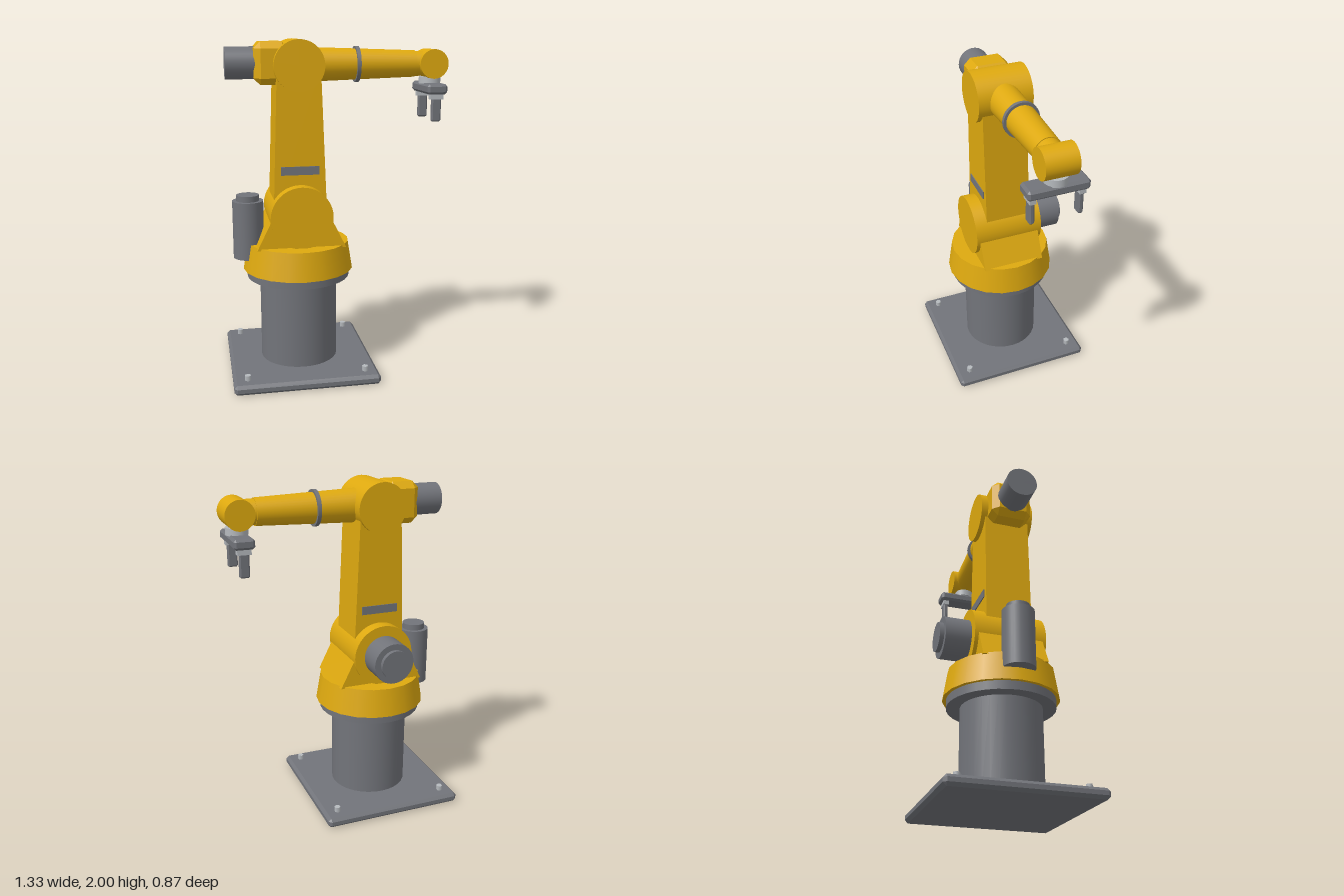
import * as THREE from 'three';
import { ConvexGeometry } from 'three/addons/geometries/ConvexGeometry.js';

export function createModel() {
  const model = new THREE.Group();
  model.name = 'robotArm';

  const mat = (name, color) => {
    const m = new THREE.MeshStandardMaterial({ color });
    m.name = name;
    return m;
  };
  const yellow = mat('yellow paint', 0xdea90f);
  const grey = mat('dark grey metal', 0x72747a);
  const light = mat('light grey metal', 0xb6babe);

  const add = (name, geometry, material, x = 0, y = 0, z = 0) => {
    const mesh = new THREE.Mesh(geometry, material);
    mesh.name = name;
    mesh.position.set(x, y, z);
    model.add(mesh);
    return mesh;
  };

  // Upright cylinder between two heights
  const post = (name, material, x, z, y0, y1, r0, r1 = r0, sides = 32) =>
    add(name, new THREE.CylinderGeometry(r1, r0, y1 - y0, sides), material, x, (y0 + y1) / 2, z);

  // Cylinder along z
  const axle = (name, material, x, y, z0, z1, r) =>
    add(name, new THREE.CylinderGeometry(r, r, z1 - z0, 40).rotateX(Math.PI / 2), material, x, y, (z0 + z1) / 2);

  // Cylinder or cone along x
  const rod = (name, material, y, x0, x1, r0, r1 = r0) =>
    add(name, new THREE.CylinderGeometry(r1, r0, x1 - x0, 32).rotateZ(-Math.PI / 2), material, (x0 + x1) / 2, y, 0);

  // Box with every edge chamfered by c
  const chamferBox = (w, h, d, c) => {
    const points = [];
    for (const i of [-1, 1]) for (const j of [-1, 1]) for (const k of [-1, 1]) {
      for (let full = 0; full < 3; full++) {
        const inset = [c, c, c];
        inset[full] = 0;
        points.push(new THREE.Vector3(i * (w / 2 - inset[0]), j * (h / 2 - inset[1]), k * (d / 2 - inset[2])));
      }
    }
    return new ConvexGeometry(points);
  };

  // Tapered block, symmetric in x, extruded through z
  const taper = (y0, half0, y1, half1, depth) => {
    const shape = new THREE.Shape([
      new THREE.Vector2(-half0, y0), new THREE.Vector2(half0, y0),
      new THREE.Vector2(half1, y1), new THREE.Vector2(-half1, y1),
    ]);
    return new THREE.ExtrudeGeometry(shape, { depth, bevelEnabled: false }).translate(0, 0, -depth / 2);
  };

  const cx = -0.233;       // main column axis
  const shoulderY = 0.98;
  const elbowY = 1.853;
  const wristX = 0.58;

  // Base plate, bolts and column
  add('basePlate', chamferBox(0.866, 0.06, 0.87, 0.018), grey, cx, 0.03, 0);
  for (const sx of [-1, 1]) for (const sz of [-1, 1]) {
    post('baseBolt', light, cx + sx * 0.35, sz * 0.35, 0.055, 0.09, 0.019, 0.019, 6);
  }
  post('column', grey, cx, 0, 0.05, 0.6, 0.235);
  post('columnFlange', grey, cx, 0, 0.58, 0.635, 0.312);

  // Rotating turret and shoulder
  post('turret', yellow, cx, 0, 0.63, 0.8, 0.335, 0.308, 20);
  add('shoulderPedestal', taper(0.79, 0.264, 0.98, 0.17, 0.38), yellow, cx);
  axle('shoulderJoint', yellow, cx, shoulderY, -0.212, 0.212, 0.185);
  axle('shoulderMotor', grey, cx, shoulderY, -0.363, -0.2, 0.123);
  axle('shoulderMotorCap', grey, cx, shoulderY, -0.388, -0.36, 0.087);

  // Upright motor behind the turret
  post('turretMotor', grey, -0.533, 0, 0.705, 1.055, 0.093);
  post('turretMotorCap', grey, -0.533, 0, 1.05, 1.09, 0.068);

  // Lower arm with a plate on each side
  add('lowerArm', taper(0.98, 0.159, 1.853, 0.126, 0.274), yellow, cx);
  for (const s of [-1, 1]) {
    add('sidePlate', new THREE.BoxGeometry(0.226, 0.05, 0.008), grey, cx, 1.25, s * 0.139);
  }

  // Elbow, gearbox and rear motor
  axle('elbowJoint', yellow, cx, elbowY, -0.163, 0.163, 0.147);
  add('elbowGearbox', chamferBox(0.2, 0.244, 0.246, 0.038), yellow, -0.385, 1.865, 0);
  rod('elbowMotor', grey, 1.865, -0.645, -0.47, 0.093);

  // Forearm
  rod('forearm', yellow, elbowY, -0.2, 0.48, 0.101, 0.078);
  rod('forearmRing', grey, elbowY, 0.115, 0.137, 0.105);
  rod('wristCollar', yellow, elbowY, 0.47, wristX, 0.073);

  // Wrist and gripper
  axle('wristJoint', yellow, wristX, elbowY, -0.093, 0.093, 0.086);
  post('toolFlange', light, wristX, 0, 1.735, 1.777, 0.065);
  add('gripperBar', chamferBox(0.12, 0.06, 0.345, 0.014), grey, wristX, 1.71, 0);
  for (const s of [-1, 1]) {
    add('fingerMount', new THREE.BoxGeometry(0.08, 0.035, 0.036), light, wristX, 1.668, s * 0.137);
    add('finger', chamferBox(0.058, 0.14, 0.03, 0.008), grey, wristX, 1.59, s * 0.136);
  }

  return model;
}
